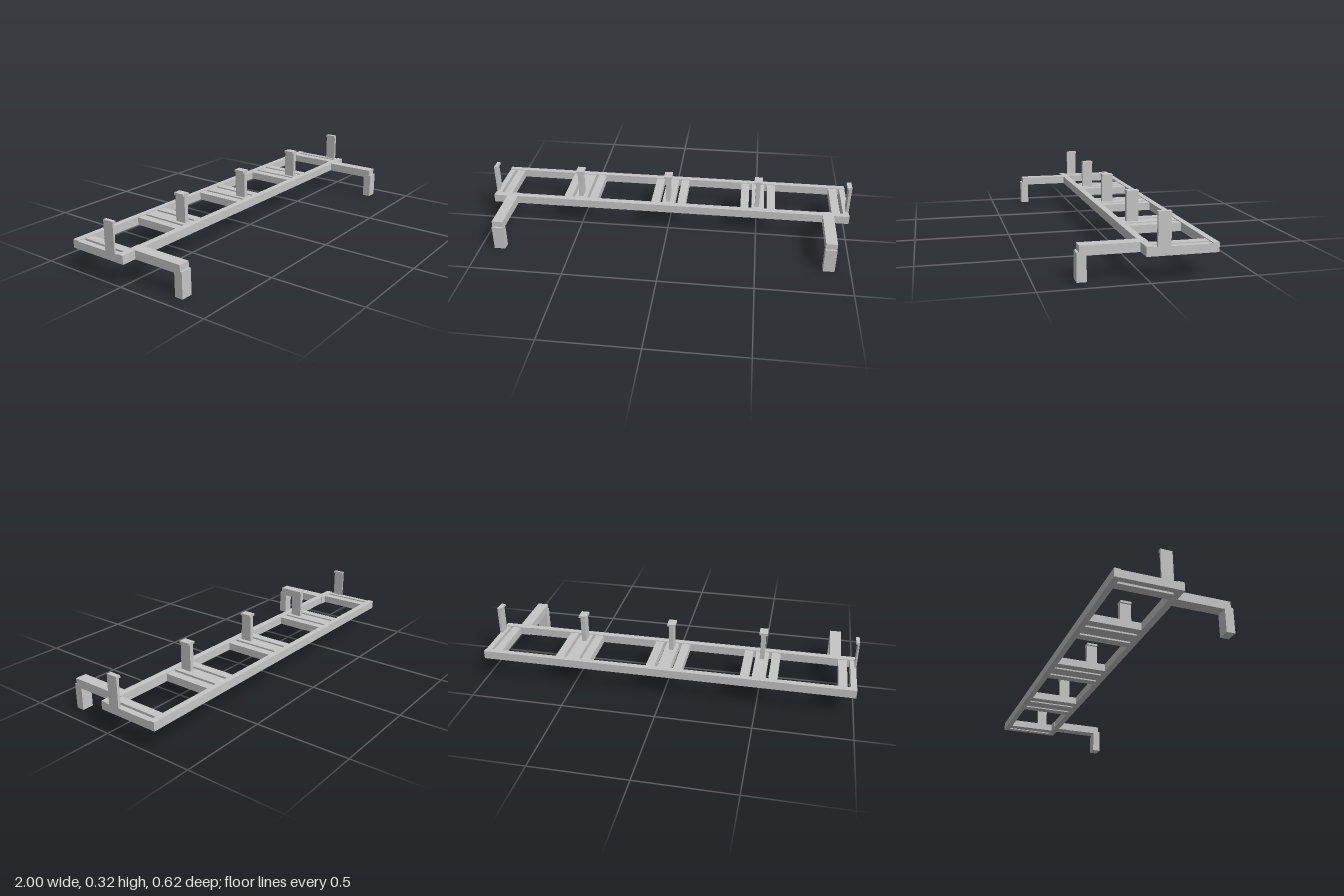
import * as THREE from 'three';

export function createModel() {
  const group = new THREE.Group();
  const grey = new THREE.MeshStandardMaterial({ color: 0xc6c6c6 });
  grey.name = 'light steel grey';

  // box given by its extents along each axis
  function bar(name, x0, x1, y0, y1, z0, z1) {
    const mesh = new THREE.Mesh(new THREE.BoxGeometry(x1 - x0, y1 - y0, z1 - z0), grey);
    mesh.position.set((x0 + x1) / 2, (y0 + y1) / 2, (z0 + z1) / 2);
    mesh.name = name;
    group.add(mesh);
  }

  const base = 0.12, railTop = 0.165, slatTop = 0.161;

  // long rails
  bar('frontRail', -1, 1, base, railTop, -0.009, 0.025);
  bar('backRail', -1, 1, base, railTop, -0.311, -0.28);

  // groups of three cross slats, cut off at the frame ends, each with a T-shaped post
  const clamp = (v) => Math.max(-1, Math.min(1, v));
  for (let i = -2; i <= 2; i++) {
    const c = i * 0.502;
    for (const [a, b] of [[-0.097, -0.051], [-0.035, 0.035], [0.051, 0.097]]) {
      const x0 = clamp(c + a), x1 = clamp(c + b);
      if (x1 - x0 > 0.01) bar('crossSlat', x0, x1, base, slatTop, -0.28, -0.009);
    }
    const p = i * 0.5 - 0.003;
    bar('postStem', clamp(p - 0.012), clamp(p + 0.012), slatTop, 0.305, -0.088, -0.027);
    bar('postCap', clamp(p - 0.022), clamp(p + 0.022), 0.305, 0.317, -0.088, -0.027);
  }

  // forward arms with downturned legs
  for (const s of [-1, 1]) {
    const c = s * 0.889 - 0.003;
    bar('arm', c - 0.03, c + 0.03, base - 0.0005, railTop + 0.0005, -0.012, 0.301);
    bar('leg', c - 0.0305, c + 0.0305, 0, 0.134, 0.267, 0.312);
  }
  return group;
}
